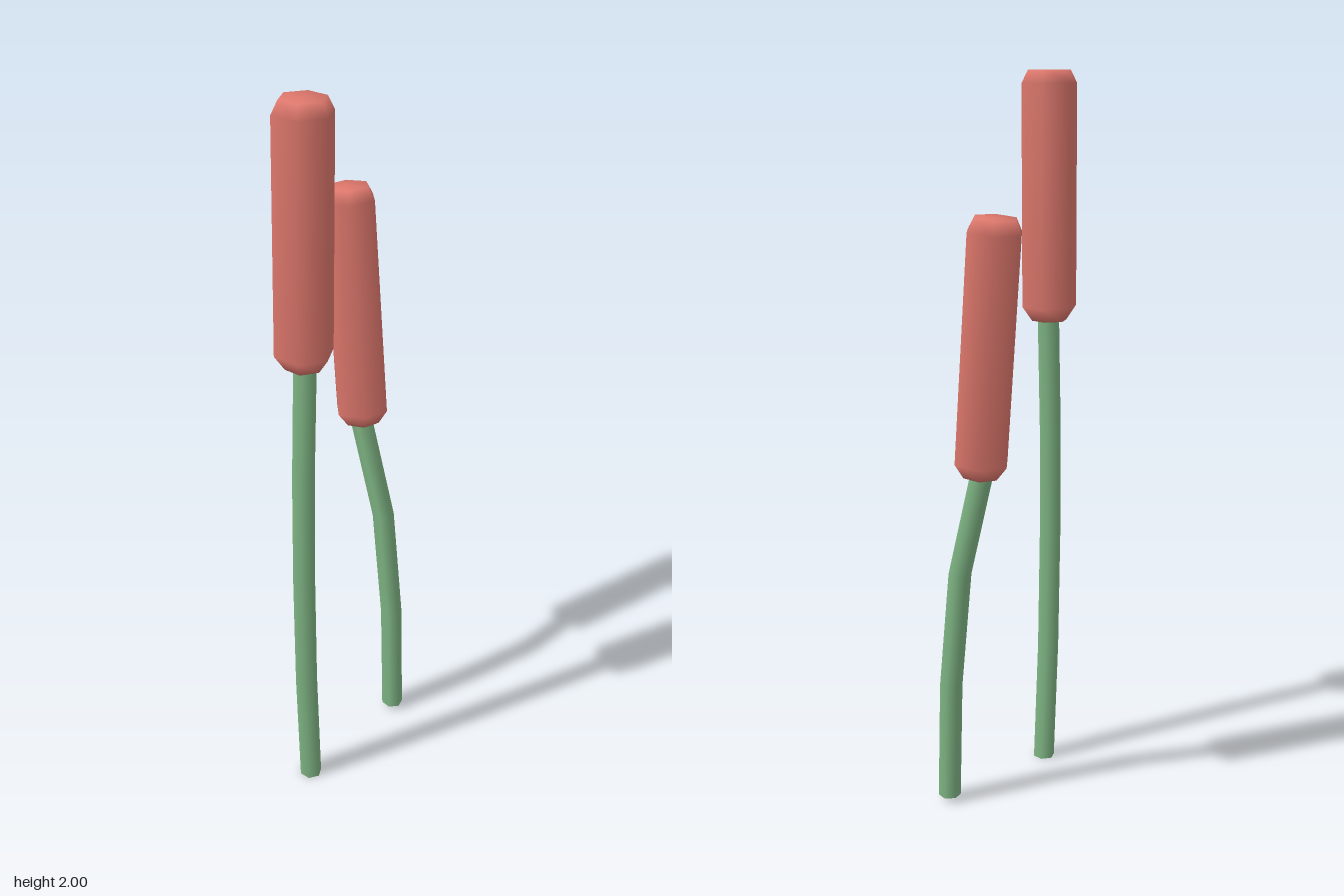
import * as THREE from 'three';

// Bent hexagonal stem: cylinder rows are moved onto the path points
function makeStem(points, yaw, material) {
  const geo = new THREE.CylinderGeometry(0.031, 0.031, 1, 6, points.length - 1);
  geo.rotateY(yaw);
  const pos = geo.attributes.position;
  for (let i = 0; i < pos.count; i++) {
    const row = Math.round((pos.getY(i) + 0.5) * (points.length - 1));
    const [x, y, z] = points[row];
    pos.setXYZ(i, pos.getX(i) + x, y, pos.getZ(i) + z);
  }
  // Bend the side normals with the path, keep the end caps flat
  const normal = geo.attributes.normal;
  for (let i = 0; i < pos.count; i++) {
    if (Math.abs(normal.getY(i)) > 0.9) continue;
    const row = points.findIndex((p) => Math.abs(p[1] - pos.getY(i)) < 1e-4);
    const a = new THREE.Vector3(...points[Math.max(row - 1, 0)]);
    const b = new THREE.Vector3(...points[Math.min(row + 1, points.length - 1)]);
    const dir = b.sub(a).normalize();
    const n = new THREE.Vector3().fromBufferAttribute(normal, i);
    n.addScaledVector(dir, -n.dot(dir)).normalize();
    normal.setXYZ(i, n.x, n.y, n.z);
  }
  const mesh = new THREE.Mesh(geo, material);
  mesh.name = 'stem';
  return mesh;
}

// Six-sided seed head with bevelled ends, standing on its own origin
function makeHead(yaw, material) {
  const profile = [[0, 0], [0.05, 0], [0.078, 0.04], [0.078, 0.645], [0.06, 0.68], [0, 0.68]]
    .map(([r, y]) => new THREE.Vector2(r, y));
  const geo = new THREE.LatheGeometry(profile, 6);
  geo.rotateY(yaw);
  const mesh = new THREE.Mesh(geo, material);
  mesh.name = 'seedHead';
  return mesh;
}

export function createModel() {
  const stemGreen = new THREE.MeshStandardMaterial({ color: 0x7fb584 });
  stemGreen.name = 'stemGreen';
  const headRed = new THREE.MeshStandardMaterial({ color: 0xdd776c });
  headRed.name = 'headRed';

  const model = new THREE.Group();
  model.name = 'reeds';

  const reeds = [
    {
      name: 'tallReed',
      path: [[-0.19, 0, 0.097], [-0.206, 0.35, 0.097], [-0.212, 0.69, 0.097],
        [-0.211, 1.0, 0.097], [-0.201, 1.34, 0.097]],
      stemYaw: 0, headYaw: 0,
      base: [-0.203, 1.32, 0.095], tilt: [0, 0, -0.006],
    },
    {
      name: 'shortReed',
      path: [[0.201, 0.015, 0.086], [0.203, 0.35, 0.072], [0.195, 0.68, 0.04],
        [0.177, 0.985, -0.035]],
      stemYaw: -0.17, headYaw: 0.245,
      base: [0.186, 0.965, -0.034], tilt: [-0.098, 0, -0.008],
    },
  ];

  for (const r of reeds) {
    const reed = new THREE.Group();
    reed.name = r.name;
    const head = makeHead(r.headYaw, headRed);
    head.position.set(...r.base);
    head.rotation.set(...r.tilt);
    reed.add(makeStem(r.path, r.stemYaw, stemGreen), head);
    model.add(reed);
  }
  return model;
}
